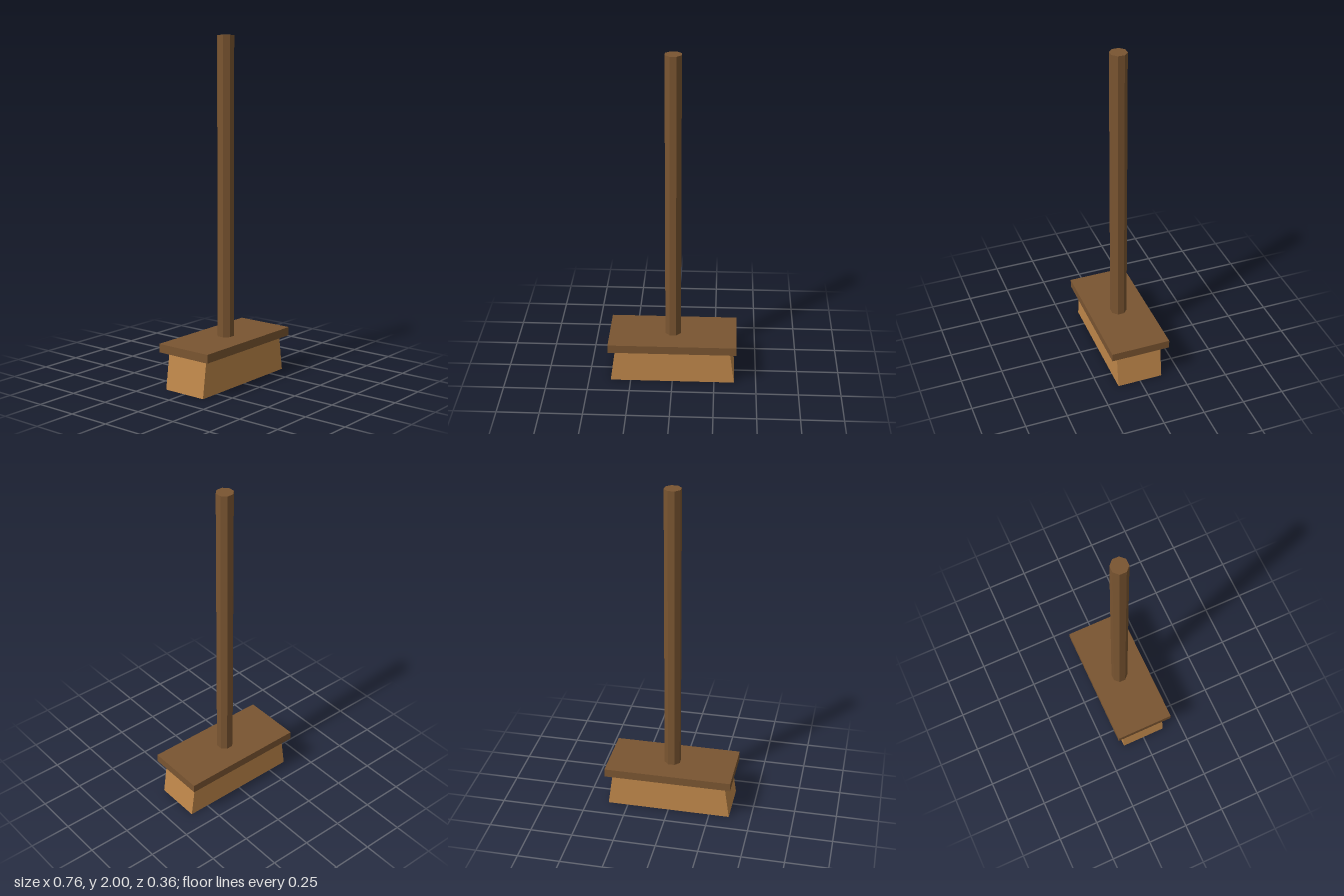
import * as THREE from 'three';

export function createModel() {
  const model = new THREE.Group();
  model.name = 'broom';

  const wood = new THREE.MeshStandardMaterial({ color: 0x7a5531 });
  wood.name = 'dark wood';
  const straw = new THREE.MeshStandardMaterial({ color: 0xbf874a });
  straw.name = 'straw';

  const add = (name, geometry, material, y) => {
    const mesh = new THREE.Mesh(geometry, material);
    mesh.name = name;
    mesh.position.y = y;
    model.add(mesh);
  };

  // Octagonal handle with its flats facing the axes
  const handle = new THREE.CylinderGeometry(0.05, 0.05, 1.735, 8).rotateY(Math.PI / 8).toNonIndexed();
  handle.computeVertexNormals();
  add('handle', handle, wood, 1.1325);

  // Flat block that holds the bristles
  add('headBlock', new THREE.BoxGeometry(0.76, 0.05, 0.356), wood, 0.24);

  // Bristles: a trapezoid, wider at the floor, extruded front to back
  const profile = new THREE.Shape([
    new THREE.Vector2(-0.37, 0),
    new THREE.Vector2(0.37, 0),
    new THREE.Vector2(0.34, 0.215),
    new THREE.Vector2(-0.34, 0.215),
  ]);
  const bristles = new THREE.ExtrudeGeometry(profile, { depth: 0.274, bevelEnabled: false });
  add('bristles', bristles.translate(0, 0, -0.137), straw, 0);

  return model;
}
